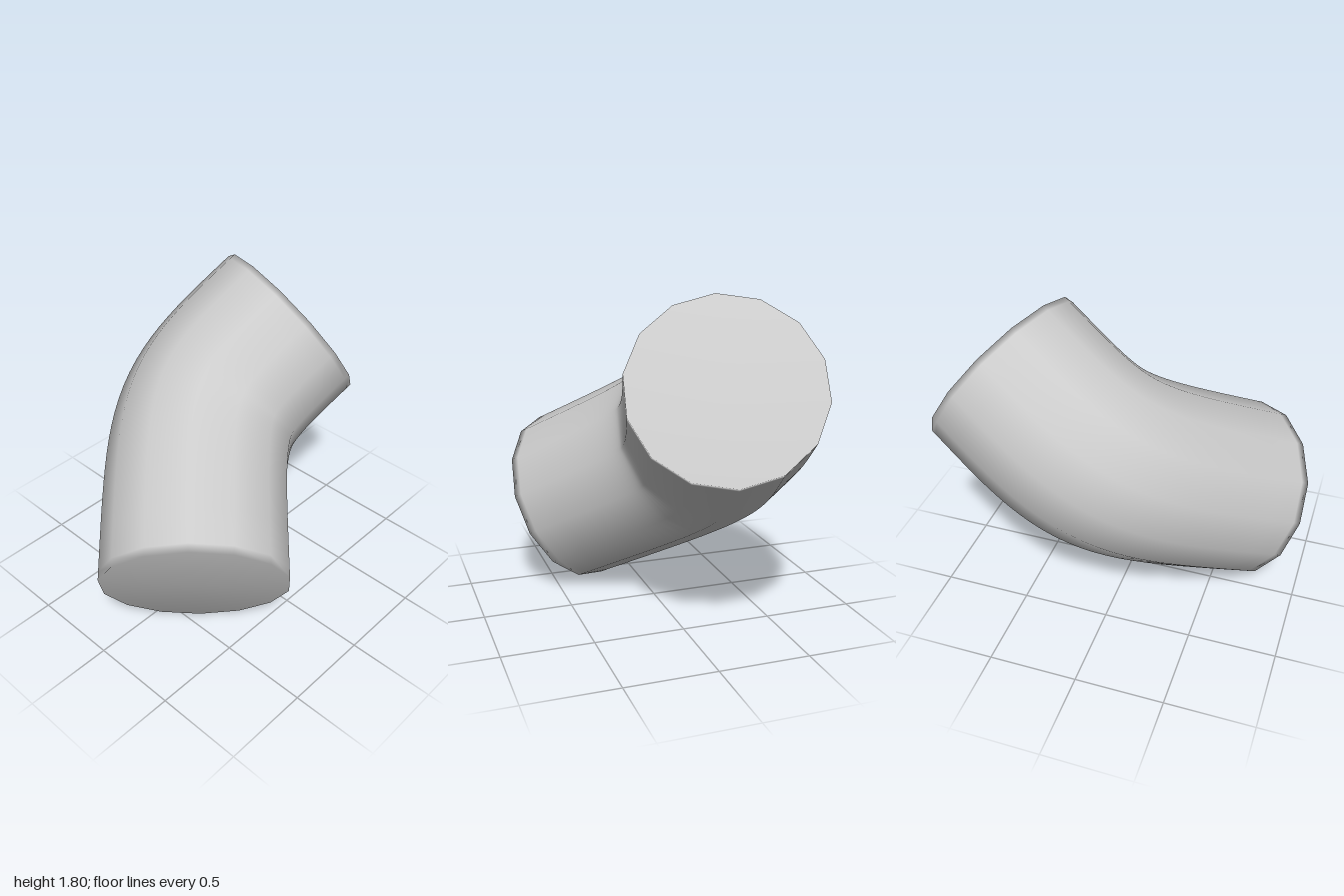
import * as THREE from 'three';

const SIDES = 14, RADIUS = 0.52, PHASE = 0.089;

// Centre line: both handles sit at the corner, so the bend is tightest in the middle
const CORNER = new THREE.Vector3(-0.325, 0.949, -0.085);
const CENTRE_LINE = new THREE.CubicBezierCurve3(
  new THREE.Vector3(-0.145, 1.36, -0.695), CORNER, CORNER, new THREE.Vector3(0.345, 0.467, 0.606));

// Normal of the tilted plane the elbow bends in
const NORMAL = new THREE.Vector3(0, 0.829, 0.559).normalize();

// Positions of the cross-sections, with one close to each rim to keep its edge tight
function stations() {
  const steps = 24, list = [0, 0.015];
  for (let i = 1; i < steps; i++) list.push(i / steps);
  return [...list, 0.985, 1];
}

// Closed pipe: rings along the centre line and a flat disc at either end
function elbowGeometry() {
  const pos = [], index = [];
  const ts = stations();
  ts.forEach((t, i) => {
    const centre = CENTRE_LINE.getPoint(t);
    const side = CENTRE_LINE.getTangent(t).cross(NORMAL).normalize();
    for (let j = 0; j < SIDES; j++) {
      const angle = PHASE + j / SIDES * Math.PI * 2;
      const corner = centre.clone()
        .addScaledVector(NORMAL, RADIUS * Math.cos(angle))
        .addScaledVector(side, RADIUS * Math.sin(angle));
      pos.push(...corner.toArray());
      if (i === ts.length - 1) continue;
      const a = i * SIDES + j, b = i * SIDES + (j + 1) % SIDES;
      index.push(a, b, a + SIDES, b, b + SIDES, a + SIDES);
    }
  });

  // End discs share the rim corners, so the shading runs softly over the edge
  const lastRing = (ts.length - 1) * SIDES, upper = ts.length * SIDES, lower = upper + 1;
  pos.push(...CENTRE_LINE.getPoint(0).toArray(), ...CENTRE_LINE.getPoint(1).toArray());
  for (let j = 0; j < SIDES; j++) {
    const k = (j + 1) % SIDES;
    index.push(upper, k, j, lower, lastRing + j, lastRing + k);
  }

  const g = new THREE.BufferGeometry();
  g.setAttribute('position', new THREE.Float32BufferAttribute(pos, 3));
  g.setIndex(index);
  g.computeVertexNormals();
  return g;
}

export function createModel() {
  const group = new THREE.Group();
  group.name = 'pipeElbow';
  const elbow = new THREE.Mesh(elbowGeometry(), new THREE.MeshStandardMaterial({ color: 0xcccccc }));
  elbow.name = 'bentPipe';
  group.add(elbow);
  return group;
}
